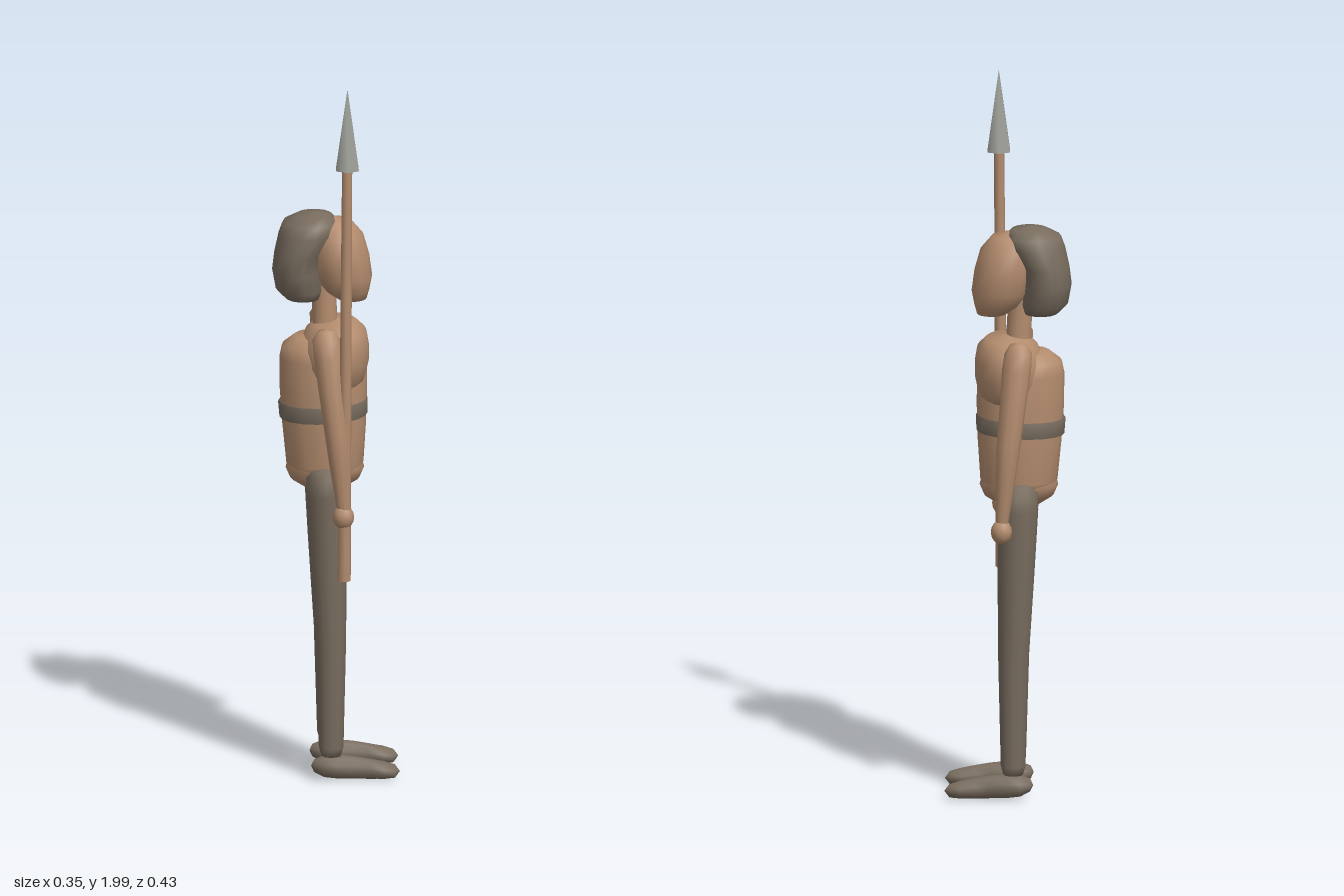
import * as THREE from 'three';

const material = (name, color) => {
  const m = new THREE.MeshStandardMaterial({ color });
  m.name = name;
  return m;
};

// Smooth skin over elliptical rings, listed upwards: [centreX, y, centreZ, radiusX, radiusZ]
function loft(rings, sides = 14) {
  const pos = [], index = [];
  rings.forEach(([cx, y, cz, rx, rz]) => {
    for (let j = 0; j < sides; j++) {
      const a = (j / sides) * Math.PI * 2;
      pos.push(cx + Math.cos(a) * rx, y, cz + Math.sin(a) * rz);
    }
  });
  for (let i = 0; i < rings.length - 1; i++) {
    for (let j = 0; j < sides; j++) {
      const a = i * sides + j, b = i * sides + ((j + 1) % sides);
      index.push(a, a + sides, b, b, a + sides, b + sides);
    }
  }
  const g = new THREE.BufferGeometry();
  g.setAttribute('position', new THREE.Float32BufferAttribute(pos, 3));
  g.setIndex(index);
  g.computeVertexNormals();
  return g;
}

export function createModel() {
  const group = new THREE.Group();
  const skin = material('skin and wood', 0xb38c6e);
  const cloth = material('dark cloth and hair', 0x786c5e);
  const metal = material('spear metal', 0x9fa19a);

  const add = (name, geometry, mat) => {
    const mesh = new THREE.Mesh(geometry, mat);
    mesh.name = name;
    group.add(mesh);
    return mesh;
  };

  // Head leans forward at the chin
  add('head', loft([
    [0.055, 1.345, 0, 0, 0],
    [0.045, 1.355, 0, 0.04, 0.045],
    [0.03, 1.38, 0, 0.062, 0.07],
    [0.02, 1.42, 0, 0.08, 0.089],
    [0.01, 1.48, 0, 0.082, 0.096],
    [0, 1.54, 0, 0.075, 0.085],
    [-0.005, 1.575, 0, 0.05, 0.055],
    [-0.01, 1.59, 0, 0, 0],
  ]), skin);

  add('hair', loft([
    [-0.09, 1.352, 0, 0, 0],
    [-0.09, 1.358, 0, 0.048, 0.06],
    [-0.1, 1.385, 0, 0.065, 0.09],
    [-0.107, 1.44, 0, 0.068, 0.1],
    [-0.102, 1.49, 0, 0.067, 0.103],
    [-0.076, 1.545, 0, 0.081, 0.1],
    [-0.068, 1.575, 0, 0.078, 0.085],
    [-0.06, 1.594, 0, 0.05, 0.055],
    [-0.06, 1.602, 0, 0, 0],
  ]), cloth);

  add('neck', loft([
    [-0.03, 1.26, 0, 0.034, 0.036],
    [-0.03, 1.31, 0, 0.034, 0.034],
    [-0.035, 1.4, 0, 0.034, 0.034],
  ]), skin);

  // Torso, chest and pelvis overlap
  add('torso', loft([
    [-0.03, 0.865, 0, 0, 0],
    [-0.03, 0.87, 0, 0.09, 0.088],
    [-0.03, 0.89, 0, 0.106, 0.098],
    [-0.032, 1.0, 0, 0.115, 0.104],
    [-0.034, 1.1, 0, 0.12, 0.107],
    [-0.035, 1.19, 0, 0.12, 0.105],
    [-0.04, 1.225, 0, 0.108, 0.095],
    [-0.045, 1.25, 0, 0.07, 0.07],
    [-0.045, 1.26, 0, 0, 0],
  ], 18), skin);

  add('chest', loft([
    [-0.005, 1.09, 0, 0, 0],
    [-0.005, 1.1, 0, 0.06, 0.08],
    [-0.005, 1.13, 0, 0.085, 0.118],
    [-0.005, 1.18, 0, 0.096, 0.136],
    [-0.005, 1.225, 0, 0.096, 0.136],
    [0, 1.265, 0, 0.084, 0.12],
    [0, 1.288, 0, 0.06, 0.093],
    [0, 1.3, 0, 0, 0],
  ], 18), skin);

  add('pelvis', loft([
    [-0.03, 0.815, 0, 0, 0],
    [-0.03, 0.823, 0, 0.06, 0.05],
    [-0.03, 0.845, 0, 0.095, 0.075],
    [-0.03, 0.875, 0, 0.108, 0.092],
    [-0.03, 0.905, 0, 0.1, 0.09],
  ], 18), skin);

  const band = add('waistBand', loft([
    [-0.033, 1.022, 0, 0.112, 0.1],
    [-0.033, 1.023, 0, 0.121, 0.109],
    [-0.033, 1.067, 0, 0.123, 0.111],
    [-0.033, 1.068, 0, 0.112, 0.1],
  ], 18), cloth);
  band.rotation.z = 0.04;
  band.position.set(0.04, 0.003, 0);

  for (const [side, s] of [['left', 1], ['right', -1]]) {
    // Arm bows outward from shoulder to wrist
    add(side + 'Arm', loft([
      [-0.03, 1.304, s * 0.138, 0, 0],
      [-0.03, 1.298, s * 0.138, 0.024, 0.022],
      [-0.03, 1.275, s * 0.143, 0.038, 0.036],
      [-0.025, 1.23, s * 0.154, 0.04, 0.037],
      [-0.015, 1.13, s * 0.171, 0.036, 0.035],
      [-0.003, 1.02, s * 0.181, 0.033, 0.034],
      [0.005, 0.93, s * 0.182, 0.028, 0.03],
      [0.013, 0.83, s * 0.179, 0.02, 0.021],
      [0.015, 0.79, s * 0.179, 0.016, 0.016],
    ].reverse(), 10), skin);

    const hand = add(side + 'Hand', new THREE.SphereGeometry(0.031, 10, 8), skin);
    hand.scale.set(0.95, 1.12, 0.95);
    hand.position.set(0.016, 0.78, s * 0.18);

    // Tapered leg with rounded ends
    add(side + 'Leg', loft([
      [-0.015, 0.07, s * 0.082, 0, 0],
      [-0.015, 0.075, s * 0.082, 0.027, 0.03],
      [-0.015, 0.1, s * 0.082, 0.034, 0.037],
      [-0.016, 0.4, s * 0.082, 0.042, 0.048],
      [-0.023, 0.65, s * 0.081, 0.051, 0.06],
      [-0.028, 0.82, s * 0.079, 0.056, 0.067],
      [-0.028, 0.865, s * 0.079, 0.055, 0.064],
      [-0.028, 0.89, s * 0.079, 0.037, 0.042],
      [-0.028, 0.897, s * 0.079, 0, 0],
    ], 12), cloth);

    // Foot is lofted from heel to toe, then laid along +x
    const foot = add(side + 'Foot', loft([
      [-0.045, -0.07, 0, 0, 0],
      [-0.045, -0.062, 0, 0.018, 0.018],
      [-0.043, -0.035, 0, 0.031, 0.034],
      [-0.042, 0, 0, 0.034, 0.036],
      [-0.039, 0.05, 0, 0.032, 0.027],
      [-0.035, 0.09, 0, 0.029, 0.029],
      [-0.031, 0.13, 0, 0.025, 0.034],
      [-0.028, 0.16, 0, 0.019, 0.024],
      [-0.028, 0.174, 0, 0, 0],
    ], 10), cloth);
    foot.rotation.z = -Math.PI / 2;
    foot.position.z = s * 0.08;
  }

  // Spear held upright in the left hand
  const shaft = add('spearShaft', new THREE.CylinderGeometry(0.014, 0.018, 1.18, 8), skin);
  shaft.position.set(0.022, 1.19, 0.183);
  shaft.rotation.z = -0.007;
  const tip = add('spearHead', new THREE.CylinderGeometry(0, 0.036, 0.23, 6), metal);
  tip.position.set(0.027, 1.885, 0.183);

  return group;
}
